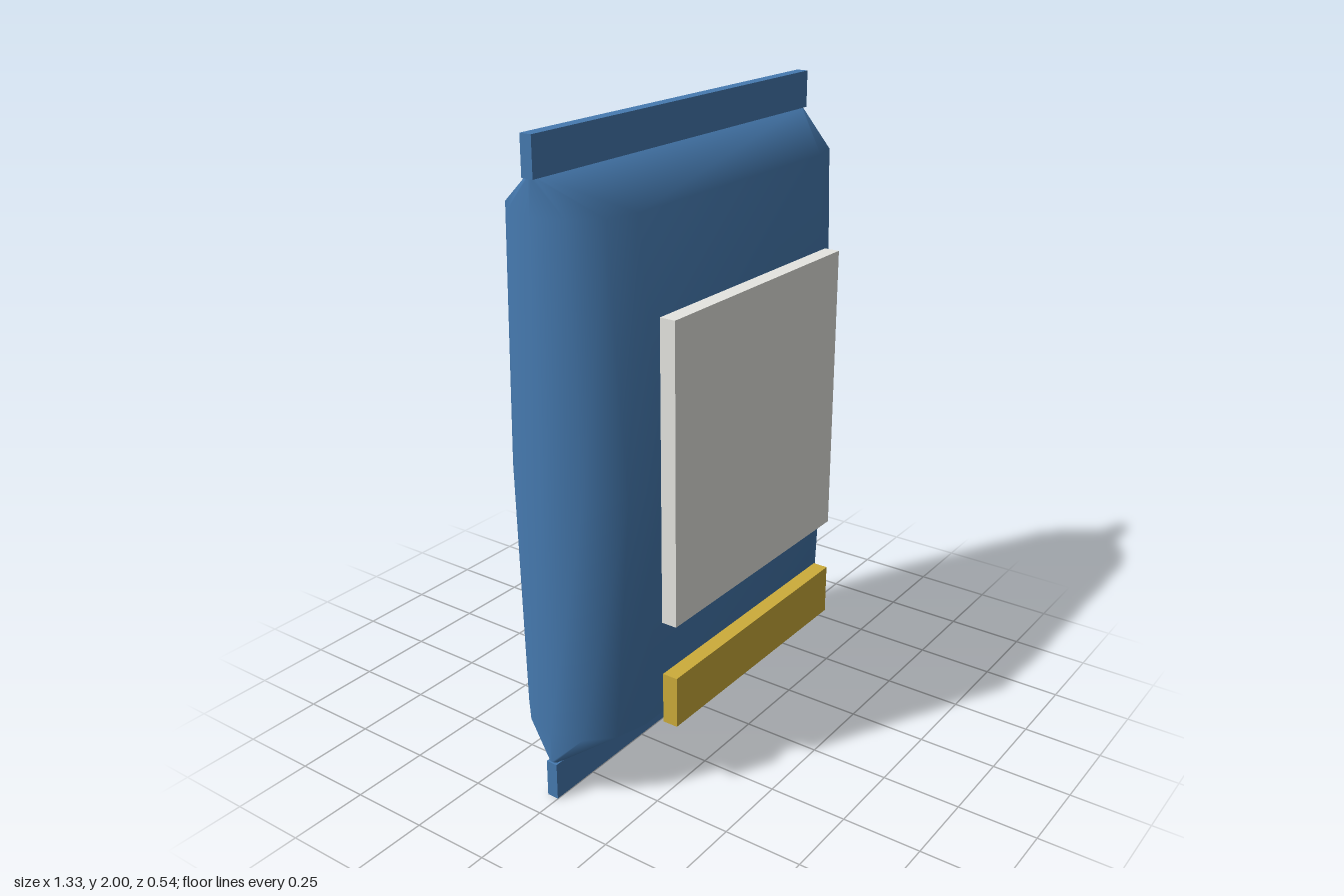
import * as THREE from 'three';

const CENTER_Z = -0.023;

// Rounded-end cross-section loop: straight front and back, three facets per corner
function ringPoints(halfWidth, halfDepth, y) {
  const points = [];
  const flat = halfWidth - halfDepth;
  for (let corner = 0; corner < 4; corner++) {
    const sx = corner === 0 || corner === 3 ? 1 : -1;
    const sz = corner < 2 ? 1 : -1;
    for (let i = 0; i <= 3; i++) {
      // the 0 and 180 degree points are shared by two corners
      if (i === 3 && (corner === 1 || corner === 3)) continue;
      const a = (corner + i / 3) * Math.PI / 2;
      points.push(sx * flat + halfDepth * Math.cos(a), y, Math.abs(Math.sin(a)) * halfDepth * sz);
    }
  }
  return points;
}

// Closed skin through a stack of equal-sized rings, bottom to top
function loft(rings) {
  const count = rings[0].length / 3;
  const index = [];
  for (let r = 0; r < rings.length - 1; r++) {
    for (let i = 0; i < count; i++) {
      const a = r * count + i;
      const b = r * count + (i + 1) % count;
      index.push(a, a + count, b, b, a + count, b + count);
    }
  }
  const geometry = new THREE.BufferGeometry();
  geometry.setAttribute('position', new THREE.Float32BufferAttribute(rings.flat(), 3));
  geometry.setIndex(index);
  geometry.computeVertexNormals();
  return geometry;
}

export function createModel() {
  const group = new THREE.Group();
  const make = (name, color) => {
    const material = new THREE.MeshStandardMaterial({ color });
    material.name = name;
    return material;
  };
  const blue = make('blue foil', 0x467ab0);
  const white = make('off-white label', 0xe6e6e1);
  const yellow = make('mustard label', 0xcdac3a);

  const add = (name, geometry, material, x, y, z) => {
    const mesh = new THREE.Mesh(geometry, material);
    mesh.name = name;
    mesh.position.set(x, y, z);
    group.add(mesh);
  };

  // Puffed pouch: [half width, half depth, height]
  const sections = [
    [0.661, 0.018, 0.12], [0.661, 0.2, 0.22], [0.661, 0.246, 1.0],
    [0.661, 0.2, 1.785], [0.661, 0.018, 1.887],
  ];
  add('pouchBody', loft(sections.map((s) => ringPoints(...s))), blue, 0, 0, CENTER_Z);

  // Flat sealed strips at both ends
  add('bottomSeal', new THREE.BoxGeometry(1.332, 0.12, 0.038), blue, 0, 0.06, CENTER_Z + 0.003);
  add('topSeal', new THREE.BoxGeometry(1.332, 0.115, 0.038), blue, 0, 1.9425, CENTER_Z + 0.003);

  // Raised front panels
  add('frontLabel', new THREE.BoxGeometry(0.864, 0.93, 0.05), white, 0, 1.037, 0.247);
  add('lowerLabel', new THREE.BoxGeometry(0.864, 0.165, 0.05), yellow, 0, 0.3175, 0.249);
  return group;
}
